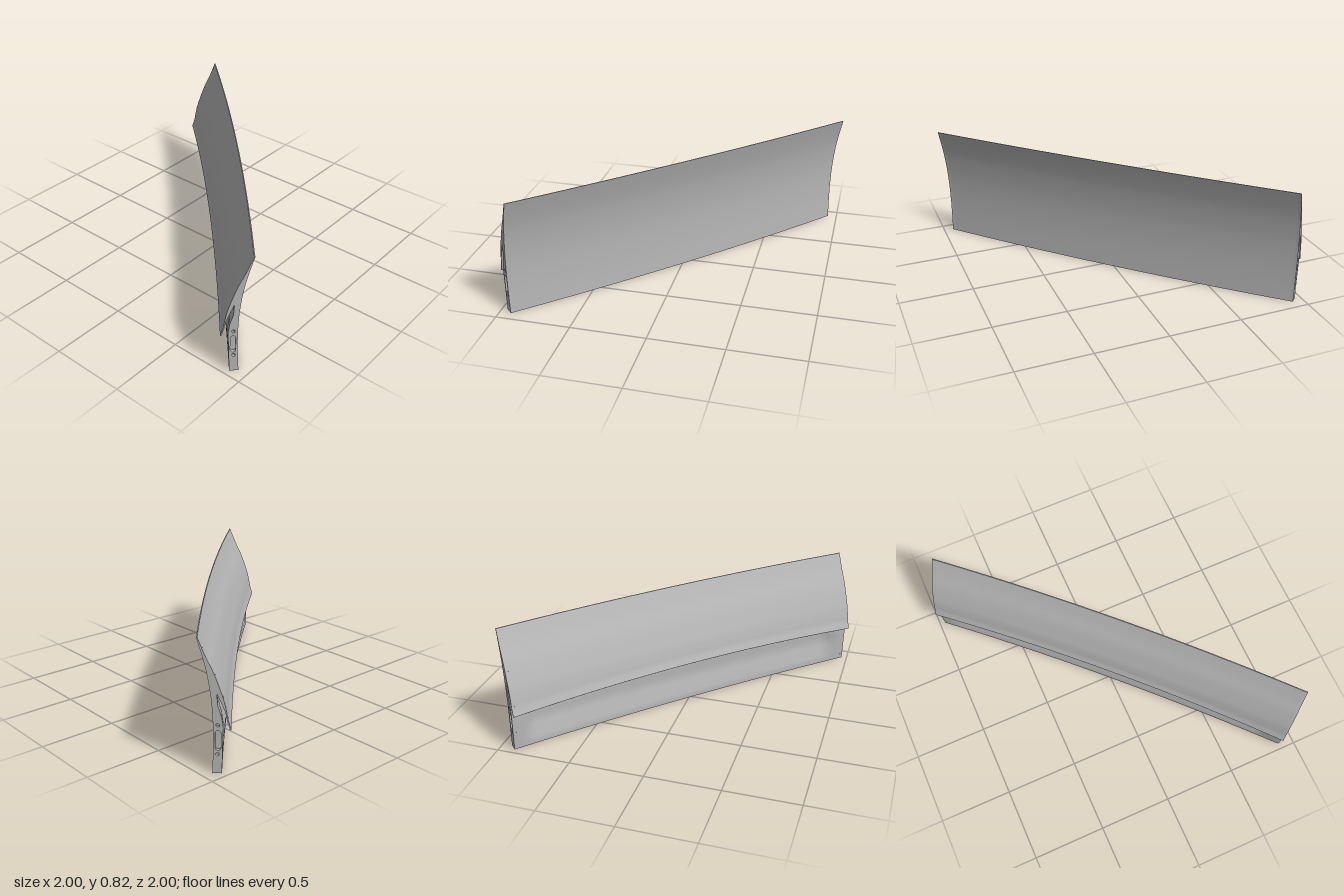
import * as THREE from 'three';
import { toCreasedNormals } from 'three/addons/utils/BufferGeometryUtils.js';

const HALF = 1.315;   // half length of the panel
const PLATE = 0.02;   // thickness of the end plates

// Smooth curve through a few points
const smooth = (pts, n) =>
  new THREE.SplineCurve(pts.map(([x, y]) => new THREE.Vector2(x, y))).getPoints(n);

// Closed cross-section, counter-clockwise. recess 0..1 sinks the inner pan, lift raises the lip.
function section(recess, lift) {
  const front = smooth([[0.009, 0], [0.003, 0.15], [0.003, 0.3], [0.012, 0.45],
    [0.034, 0.6], [0.06, 0.71], [0.092, 0.82]], 24);
  const back = smooth([[0.086, 0.82], [0.042, 0.71], [-0.008, 0.6], [-0.056, 0.46],
    [-0.074, 0.38], [-0.083, 0.33], [-0.1, 0.275]], 28);
  const hollow = [[-0.093, 0.27], [-0.078, 0.32], [-0.066, 0.38], [-0.046, 0.43], [-0.02, 0.49],
    [-0.024, 0.42], [-0.046, 0.35], [-0.055, 0.285], [-0.052, 0.2], [-0.05, 0.13], [-0.048, 0.055], [-0.046, 0]]
    .map(([x, y]) => new THREE.Vector2(x, y));
  // lip edge rises slightly toward mid span
  [...back, ...hollow.slice(0, 3)].forEach(p => {
    p.y += lift * THREE.MathUtils.clamp((0.5 - p.y) / 0.22, 0, 1);
  });
  // pressed pan on the inner face
  [0.012, 0.03, 0.04, 0.04, 0.038].forEach((d, i) => { hollow[5 + i].x += d * recess; });
  return [...front, ...back, ...hollow];
}

// Skin swept along z with a gentle bow
function sweptBody() {
  const rings = 72, pos = [], index = [], end = HALF - PLATE;
  let count = 0;
  for (let i = 0; i <= rings; i++) {
    const z = -end + (2 * end * i) / rings;
    const bow = 1 - (z / end) ** 2;
    const recess = THREE.MathUtils.smoothstep(end - Math.abs(z), 0.05, 0.15);
    const ring = section(recess, 0.03 * bow);
    count = ring.length;
    ring.forEach(p => pos.push(p.x + 0.035 * bow, p.y + 0.006 * bow * p.y, z));
  }
  for (let i = 0; i < rings; i++) {
    for (let k = 0; k < count; k++) {
      const a = i * count + k, b = i * count + (k + 1) % count;
      index.push(a, b, a + count, b, b + count, a + count);
    }
  }
  const g = new THREE.BufferGeometry();
  g.setAttribute('position', new THREE.Float32BufferAttribute(pos, 3));
  g.setIndex(index);
  return toCreasedNormals(g, 0.6);
}

// Rounded slot outline
function slotPath(x, y, r, h) {
  const p = new THREE.Path();
  p.absarc(x, y + h, r, 0, Math.PI, false);
  p.absarc(x, y - h, r, Math.PI, Math.PI * 2, false);
  p.closePath();
  return p;
}

export function createModel() {
  const model = new THREE.Group();
  model.name = 'curvedPanel';
  const grey = new THREE.MeshStandardMaterial({ color: 0xb8b8b8, side: THREE.DoubleSide });
  grey.name = 'light grey';

  const frame = new THREE.Group();
  frame.name = 'diagonalFrame';
  frame.rotation.y = -Math.PI / 4;
  model.add(frame);

  const add = (name, geometry, z = 0) => {
    const mesh = new THREE.Mesh(geometry, grey);
    mesh.name = name;
    mesh.position.z = z;
    frame.add(mesh);
  };

  add('panelSkin', sweptBody());

  // End plates with a slot and two bolt holes, closed behind
  const outline = section(0, 0);
  const plate = new THREE.Shape(outline);
  plate.holes.push(
    slotPath(-0.025, 0.205, 0.016, 0.045),
    slotPath(-0.024, 0.3, 0.01, 0.001),
    slotPath(-0.021, 0.12, 0.01, 0.001));
  const plateGeo = toCreasedNormals(new THREE.ExtrudeGeometry(plate,
    { depth: PLATE, bevelEnabled: false, curveSegments: 8 }), 0.6);
  const backing = new THREE.ShapeGeometry(new THREE.Shape(outline));
  for (const side of [-1, 1]) {
    add('endPlate', plateGeo, side > 0 ? HALF - PLATE : -HALF);
    add('endBacking', backing, side * (HALF - PLATE - 0.001));
  }
  return model;
}
